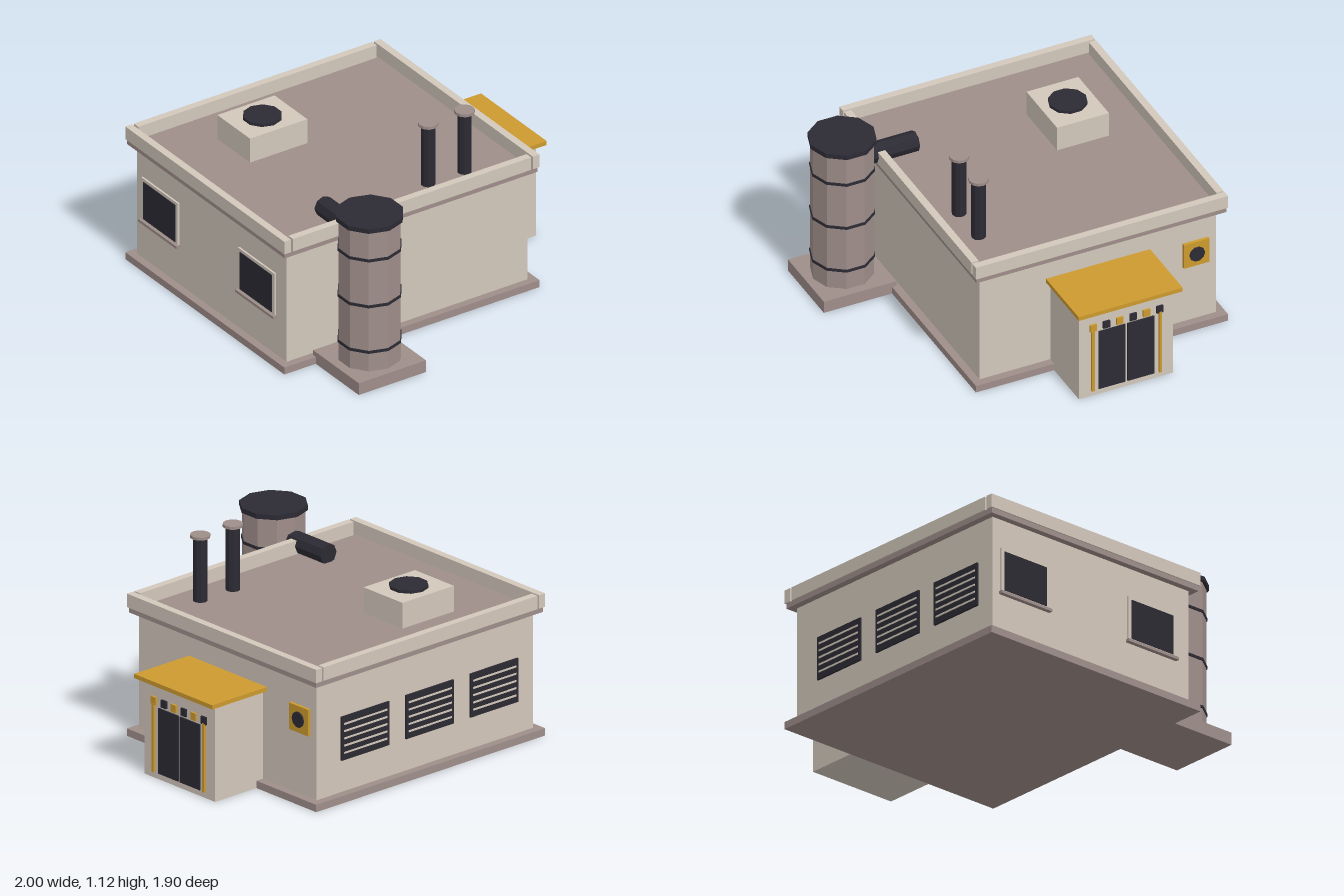
import * as THREE from 'three';

const material = (color) => new THREE.MeshStandardMaterial({ color, flatShading: true });

export function createModel() {
  const model = new THREE.Group();
  model.name = 'utilityBuilding';
  const wall = material(0xd2c7bb), brown = material(0x9f8e8a);
  const dark = material(0x2c2a33), gold = material(0xcc9a2e);

  const add = (name, geometry, mat, x, y, z) => {
    const mesh = new THREE.Mesh(geometry, mat);
    mesh.name = name;
    mesh.position.set(x, y, z);
    model.add(mesh);
    return mesh;
  };
  // Box given by its limits on each axis
  const box = (name, mat, [x0, x1], [y0, y1], [z0, z1]) =>
    add(name, new THREE.BoxGeometry(x1 - x0, y1 - y0, z1 - z0), mat,
      (x0 + x1) / 2, (y0 + y1) / 2, (z0 + z1) / 2);
  // Upright faceted cylinder between two heights
  const drum = (name, mat, x, z, r, y0, y1, sides = 10) =>
    add(name, new THREE.CylinderGeometry(r, r, y1 - y0, sides), mat, x, (y0 + y1) / 2, z);

  // Main body
  box('plinth', brown, [-1, 0.65], [0, 0.042], [-0.952, 0.545]);
  box('walls', wall, [-0.955, 0.603], [0.042, 0.71], [-0.905, 0.5]);
  box('roofSlab', brown, [-0.993, 0.643], [0.708, 0.738], [-0.945, 0.538]);

  // Parapet with narrow corner joints
  box('parapetRight', wall, [-1, -0.957], [0.738, 0.815], [-0.952, 0.545]);
  box('parapetLeft', wall, [0.607, 0.65], [0.738, 0.815], [-0.952, 0.545]);
  box('parapetBack', wall, [-0.945, 0.596], [0.738, 0.815], [-0.952, -0.909]);
  box('parapetFront', wall, [-0.945, 0.596], [0.738, 0.815], [0.502, 0.545]);

  // Roof vent
  box('roofVentBox', wall, [-0.595, -0.225], [0.738, 0.885], [-0.675, -0.367]);
  drum('roofVentCover', dark, -0.41, -0.521, 0.107, 0.885, 0.902);

  // Exhaust stacks
  for (const x of [0.06, 0.295]) {
    drum('exhaustStack', dark, x, 0.355, 0.04, 0.738, 1.1);
    drum('exhaustStackCap', brown, x, 0.355, 0.055, 1.1, 1.117, 12);
  }

  // Tower on its pad, with bands and a cap
  const tx = -0.58, tz = 0.735;
  box('towerPad', brown, [-0.797, -0.363], [0, 0.072], [0.52, 0.95]);
  drum('towerBody', brown, tx, tz, 0.173, 0.072, 0.925);
  drum('towerCap', dark, tx, tz, 0.187, 0.925, 0.953);
  for (const y of [0.19, 0.47, 0.752]) drum('towerBand', dark, tx, tz, 0.178, y - 0.008, y + 0.008);

  // Duct from the tower to the roof
  const duct = add('duct', new THREE.CylinderGeometry(0.058, 0.058, 0.3, 8), dark, tx, 0.785, 0.45);
  duct.rotation.x = Math.PI / 2;

  // Entrance block with canopy
  box('entranceBlock', wall, [0.6, 0.948], [0, 0.552], [-0.48, 0.08]);
  box('entranceCanopy', gold, [0.603, 0.998], [0.552, 0.576], [-0.512, 0.106]);
  for (const z of [-0.114, -0.286])
    box('door', dark, [0.945, 0.956], [0.035, 0.41], [z - 0.079, z + 0.079]);
  for (const z of [0, -0.4])
    box('doorPost', gold, [0.945, 0.962], [0.035, 0.43], [z - 0.008, z + 0.008]);
  for (let i = 0; i < 6; i++) {
    const z = -0.002 - i * 0.079;
    box('hazardTile', i % 2 ? dark : gold, [0.945, 0.96], [0.423, 0.466], [z - 0.02, z + 0.02]);
  }

  // Wall fan
  box('fanHousing', gold, [0.6, 0.622], [0.398, 0.55], [-0.857, -0.705]);
  const fan = add('fanDisc', new THREE.CylinderGeometry(0.045, 0.045, 0.02, 10), dark, 0.62, 0.474, -0.781);
  fan.rotation.z = Math.PI / 2;

  // Louvres on the back wall
  for (const x of [0.26, -0.205, -0.67]) {
    box('louvrePanel', dark, [x - 0.172, x + 0.172], [0.225, 0.475], [-0.916, -0.9]);
    for (let i = 0; i < 5; i++) {
      const y = 0.267 + i * 0.0415;
      box('louvreSlat', wall, [x - 0.155, x + 0.155], [y - 0.005, y + 0.005], [-0.92, -0.91]);
    }
  }

  // Windows on the right wall
  for (const z of [-0.68, 0.23]) {
    box('windowFrame', wall, [-0.966, -0.95], [0.275, 0.54], [z - 0.172, z + 0.172]);
    box('windowPane', dark, [-0.97, -0.955], [0.295, 0.522], [z - 0.15, z + 0.15]);
    box('windowSill', brown, [-0.98, -0.95], [0.268, 0.284], [z - 0.18, z + 0.18]);
  }
  return model;
}
